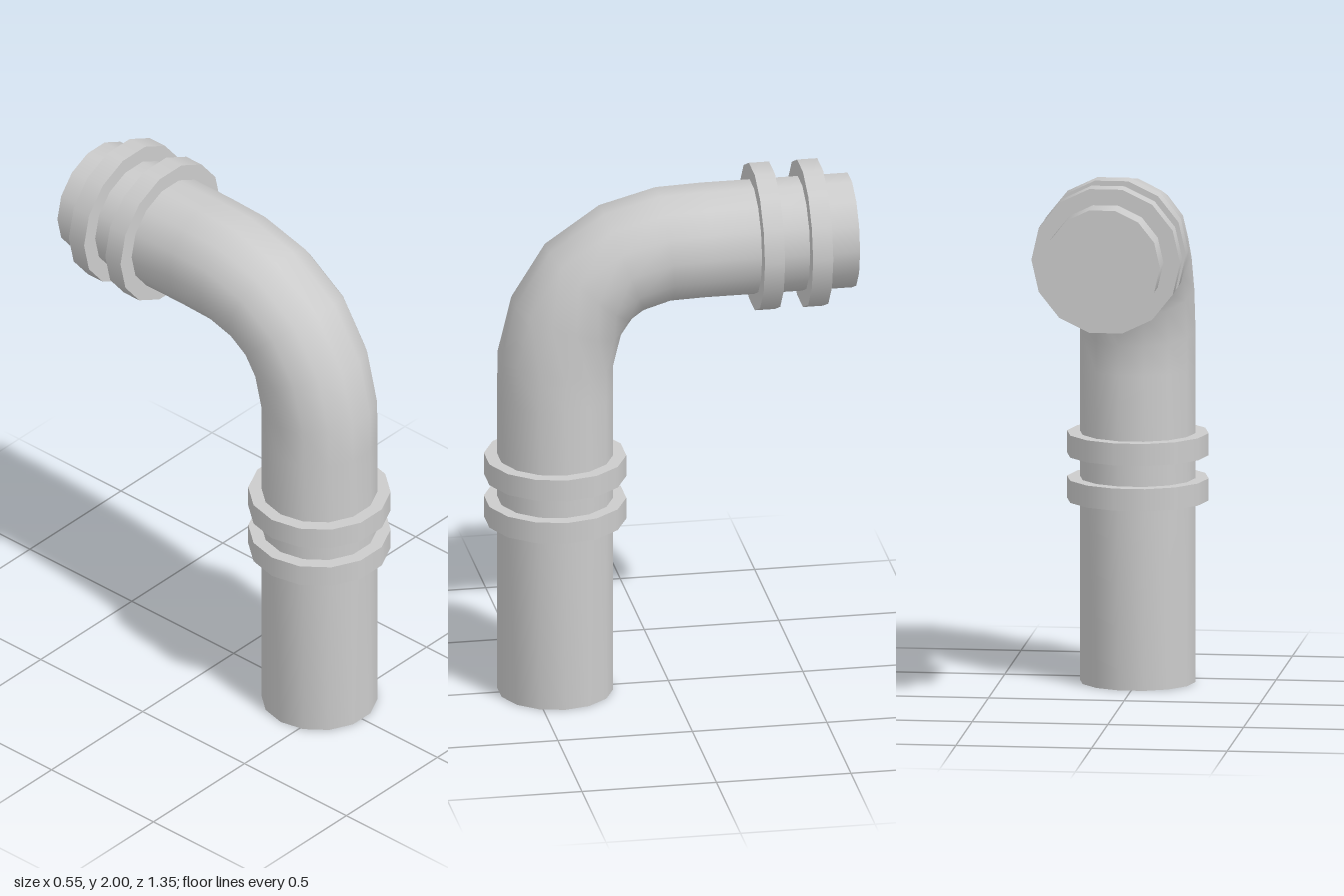
import * as THREE from 'three';

const SIDES = 14;
const material = new THREE.MeshStandardMaterial({ color: 0xcccccc });

// Sweeps a round section along rings of [z, y, tilt in degrees], closed at both ends
function sweptPipe(rings, radius) {
  const pos = [], index = [];
  const addRing = ([z, y, tilt]) => {
    const t = THREE.MathUtils.degToRad(tilt), start = pos.length / 3;
    for (let k = 0; k < SIDES; k++) {
      const a = (k / SIDES) * Math.PI * 2, out = radius * Math.sin(a);
      pos.push(radius * Math.cos(a), y + out * Math.sin(t), z + out * Math.cos(t));
    }
    return start;
  };
  // Wall
  const starts = rings.map(addRing);
  for (let i = 0; i < starts.length - 1; i++) {
    for (let k = 0; k < SIDES; k++) {
      const n = (k + 1) % SIDES, a = starts[i], b = starts[i + 1];
      index.push(a + k, b + k, b + n, a + k, b + n, a + n);
    }
  }
  // End caps use their own vertices so their rims stay sharp
  const first = addRing(rings[0]), last = addRing(rings[rings.length - 1]);
  for (let k = 1; k < SIDES - 1; k++) {
    index.push(first, first + k, first + k + 1);
    index.push(last, last + k + 1, last + k);
  }
  const geo = new THREE.BufferGeometry();
  geo.setAttribute('position', new THREE.Float32BufferAttribute(pos, 3));
  geo.setIndex(index);
  geo.computeVertexNormals();
  return geo;
}

function collar(name, radius, width) {
  const geo = new THREE.CylinderGeometry(radius, radius, width, SIDES, 1, false, Math.PI / 2);
  const mesh = new THREE.Mesh(geo, material);
  mesh.name = name;
  return mesh;
}

export function createModel() {
  const group = new THREE.Group();
  group.name = 'elbowPipe';

  // Upright run, bend and horizontal run
  const pipe = new THREE.Mesh(sweptPipe([
    [0.421, 0, 0], [0.421, 1.17, 0], [0.42, 1.305, 7], [0.38, 1.47, 20],
    [0.2975, 1.6, 42.5], [0.175, 1.685, 69], [0.02, 1.728, 84.5],
    [-0.13, 1.733, 90], [-0.675, 1.733, 90],
  ], 0.213), material);
  pipe.name = 'pipe';
  group.add(pipe);

  // Pair of collars on the upright run
  for (const y of [0.717, 0.885]) {
    const ring = collar('lowerCollar', 0.261, 0.082);
    ring.position.set(0, y, 0.421);
    group.add(ring);
  }

  // Pair of collars on the horizontal run
  for (const z of [-0.348, -0.527]) {
    const ring = collar('upperCollar', 0.274, 0.075);
    ring.rotation.x = Math.PI / 2;
    ring.position.set(0, 1.733, z);
    group.add(ring);
  }
  return group;
}
